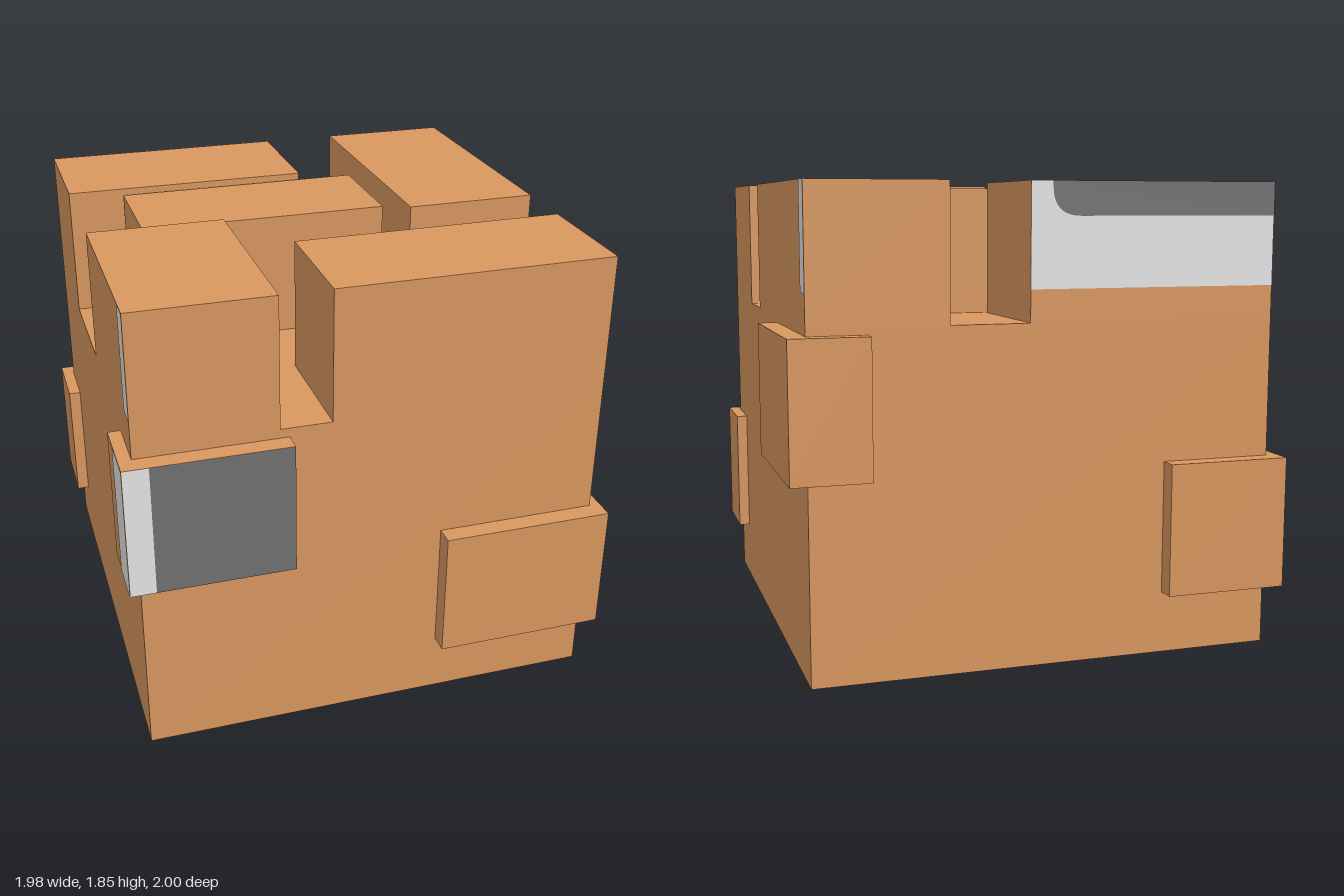
import * as THREE from 'three';

export function createModel() {
  const model = new THREE.Group();
  const material = (name, color) => {
    const m = new THREE.MeshStandardMaterial({ color });
    m.name = name;
    return m;
  };
  const clay = material('clay brown', 0xda9860);
  clay.side = THREE.DoubleSide;
  const pale = material('pale grey', 0xe6e6e6);
  const dark = material('dark grey', 0x717171);

  // Hollow box with an open underside, given by its extents along each axis
  const block = (name, [x0, x1], [y0, y1], [z0, z1]) => {
    const geometry = new THREE.BoxGeometry(x1 - x0, y1 - y0, z1 - z0);
    const faces = Array.from(geometry.index.array);
    faces.splice(18, 6);
    geometry.setIndex(faces);
    geometry.clearGroups();
    const mesh = new THREE.Mesh(geometry, clay);
    mesh.position.set((x0 + x1) / 2, (y0 + y1) / 2, (z0 + z1) / 2);
    mesh.name = name;
    model.add(mesh);
  };

  // Painted face, base centre at (x, y, z), lower left corner rounded by r
  const paint = (name, mat, w, h, r, [x, y, z], turn) => {
    const s = new THREE.Shape();
    s.moveTo(-w / 2 + r, 0);
    s.lineTo(w / 2, 0);
    s.lineTo(w / 2, h);
    s.lineTo(-w / 2, h);
    s.lineTo(-w / 2, r);
    if (r > 0) s.quadraticCurveTo(-w / 2, 0, -w / 2 + r, 0);
    const mesh = new THREE.Mesh(new THREE.ShapeGeometry(s, 10), mat);
    mesh.position.set(x, y, z);
    mesh.rotation.y = turn;
    mesh.name = name;
    model.add(mesh);
  };

  const floor = 1.325, top = 1.85;
  const L = -0.938, R = 0.912, B = -0.928, F = 0.922;

  // Main body and the blocks separated by slots on top
  block('body', [L, R], [0, floor], [B, F]);
  block('backTopBlock', [L, 0.067], [floor, top], [B, -0.4]);
  block('leftTopBlock', [0.377, R], [floor, top], [B, 0.173]);
  block('centreTopBlock', [-0.713, 0.292], [floor, 1.828], [-0.38, 0.07]);
  block('rightTopBlock', [L, -0.39], [floor, top], [0.1, F]);
  block('frontTopBlock', [-0.19, R], [floor, top], [0.423, F]);

  // Raised plates wrapped around the four upright corners
  block('frontRightCornerPlate', [-0.988, -0.354], [0.76, 1.289], [0.695, 0.998]);
  block('frontLeftCornerPlate', [0.261, 0.957], [0.243, 0.77], [0.697, 1]);
  block('backLeftCornerPlate', [0.685, 0.988], [0.77, 1.298], [-0.993, -0.297]);
  block('backRightCornerPlate', [-0.988, -0.49], [0.245, 0.77], [-1, -0.7]);

  // Paint on the front corner plate
  paint('platePaleStrip', pale, 0.099, 0.529, 0, [-0.9385, 0.76, 1], 0);
  paint('plateDarkPanel', dark, 0.535, 0.529, 0, [-0.6215, 0.76, 1], 0);
  paint('plateSideStrip', pale, 0.185, 0.529, 0, [-0.99, 0.76, 0.9055], -Math.PI / 2);

  // Paint on the top blocks
  paint('backPaleBand', pale, 1.005, 0.4, 0, [-0.4355, 1.45, B - 0.002], Math.PI);
  paint('backDarkPanel', dark, 0.92, 0.13, 0.11, [-0.478, 1.72, B - 0.004], Math.PI);
  paint('leftPaleStrip', pale, 0.076, 0.4, 0.02, [R + 0.002, 1.45, -0.89], Math.PI / 2);
  paint('rightPaleStrip', pale, 0.085, 0.41, 0.02, [L - 0.002, 1.44, 0.8795], -Math.PI / 2);

  return model;
}
